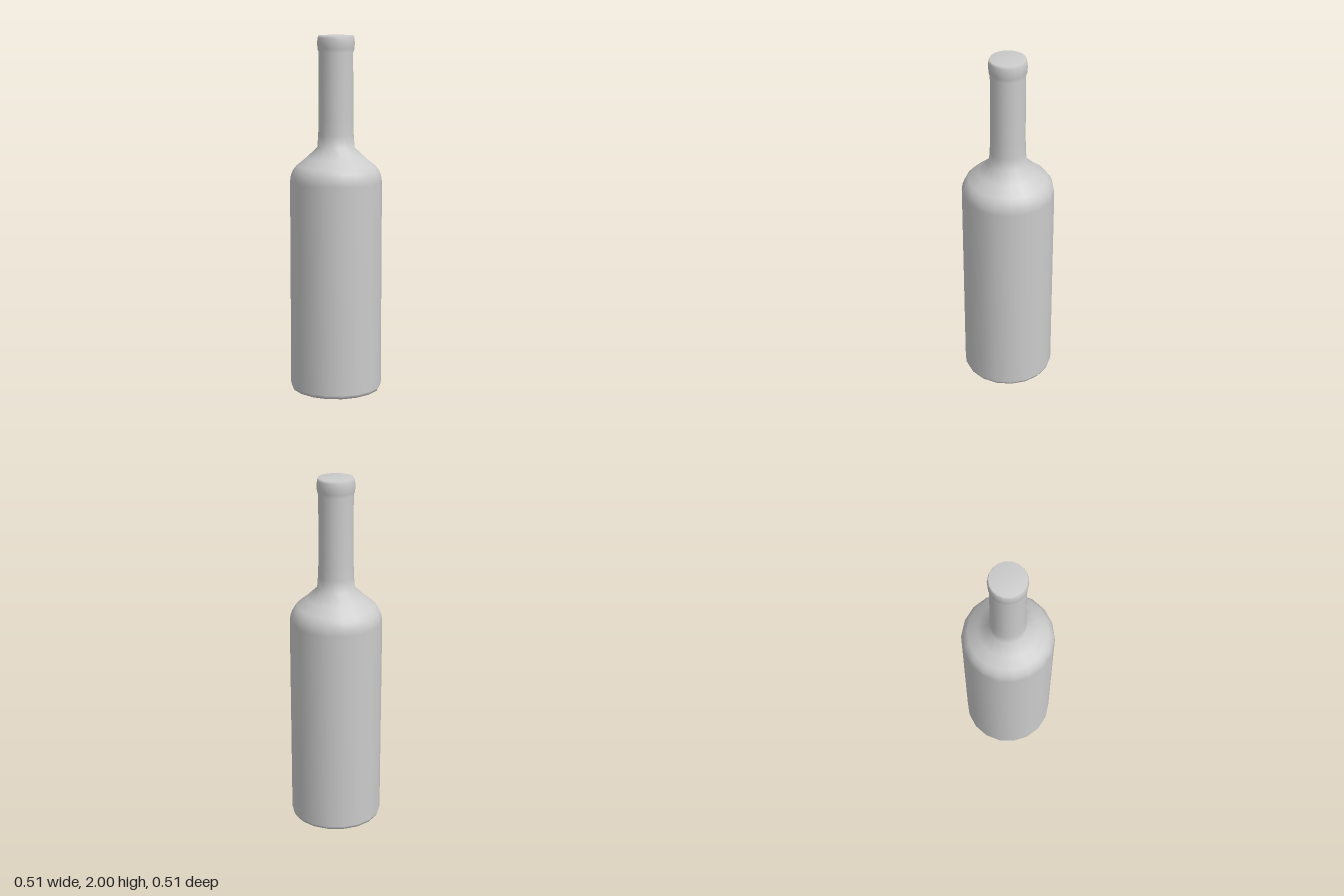
import * as THREE from 'three';

const SIDES = 18;

export function createModel() {
  const group = new THREE.Group();
  group.name = 'bottle';
  const material = new THREE.MeshStandardMaterial({ color: 0xcccccc });

  // Closed outline as [radius, height], from base centre to mouth centre
  const profile = [
    [0, 0], [0.235, 0], [0.248, 0.006], [0.257, 0.025],                // base
    [0.257, 1.19], [0.252, 1.225], [0.24, 1.255], [0.22, 1.28],        // body and shoulder
    [0.165, 1.325], [0.104, 1.382],                                    // slope to neck
    [0.099, 1.45], [0.096, 1.53], [0.095, 1.905],                      // neck
    [0.102, 1.925], [0.104, 1.96], [0.101, 1.985], [0.096, 2], [0, 2], // lip and closed mouth
  ].map(([r, y]) => new THREE.Vector2(r, y));

  // Starting at a quarter turn puts a corner on the x axis
  const body = new THREE.Mesh(new THREE.LatheGeometry(profile, SIDES, Math.PI / 2), material);
  body.name = 'bottleBody';
  group.add(body);
  return group;
}
